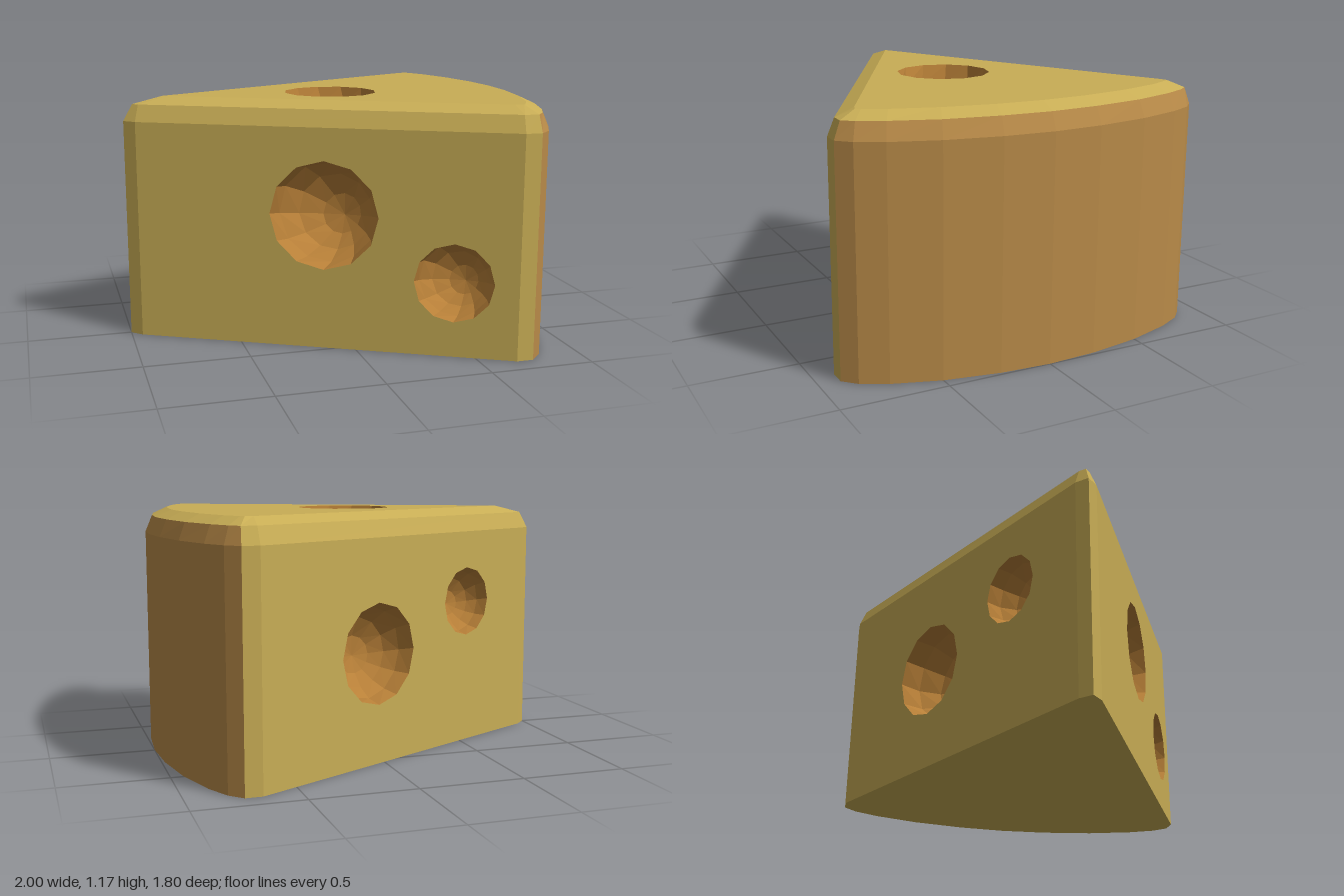
import * as THREE from 'three';

const cheese = new THREE.MeshStandardMaterial({ color: 0xc8ad55, flatShading: true });
const rind = new THREE.MeshStandardMaterial({ color: 0xb88a48, flatShading: true });
const inside = new THREE.MeshStandardMaterial({ color: 0xb88038, flatShading: true });

// Half outlines [x, z] from tip to middle of the rind; mirrored into a closed ring
const halfBase = [[-1, 0], [-0.95, 0.05], [0.67, 0.9], [0.75, 0.9], [0.81, 0.84], [0.87, 0.72], [0.94, 0.5], [0.985, 0.24], [1, 0]];
const halfMid = [[-0.955, 0], [-0.93, 0.025], [0.675, 0.868], [0.745, 0.87], [0.785, 0.82], [0.84, 0.705], [0.91, 0.49], [0.952, 0.235], [0.967, 0]];
const halfTop = [[-0.81, 0], [-0.79, 0.0105], [0.67, 0.777], [0.71, 0.79], [0.725, 0.77], [0.775, 0.67], [0.838, 0.46], [0.878, 0.22], [0.89, 0]];
const ring = (half, y) => [...half, ...half.slice(1, -1).reverse().map(([x, z]) => [x, -z])]
  .map(([x, z]) => new THREE.Vector3(x, y, z));

function meshFromTriangles(name, points, material) {
  const geometry = new THREE.BufferGeometry().setFromPoints(points);
  geometry.computeVertexNormals();
  const mesh = new THREE.Mesh(geometry, material);
  mesh.name = name;
  return mesh;
}

const quad = (a, b, c, d) => [a, b, c, a, c, d];

// Quads between two rings for the chosen segments
function strip(name, lower, upper, segments, material) {
  const points = segments.flatMap((i) => {
    const j = (i + 1) % lower.length;
    return quad(lower[i], lower[j], upper[j], upper[i]);
  });
  return meshFromTriangles(name, points, material);
}

// Round hollow of radius r sunk below the local z = 0 plane, with a tilted pole
const SIDES = 12;
function hollow(name, u, v, r) {
  const rows = 4;
  const pole = new THREE.Vector3(0.22, -0.18, -1).normalize();
  const at = (k, i) => {
    const a = (k / rows) * Math.PI / 2;
    const t = ((i % SIDES) / SIDES) * Math.PI * 2;
    return new THREE.Vector3(Math.cos(t), Math.sin(t), 0).multiplyScalar(Math.cos(a))
      .addScaledVector(pole, Math.sin(a)).normalize().multiplyScalar(r);
  };
  const points = [];
  for (let k = 0; k < rows; k++) {
    for (let i = 0; i < SIDES; i++) {
      if (k === rows - 1) points.push(at(k, i), at(k, i + 1), at(rows, 0));
      else points.push(...quad(at(k, i), at(k, i + 1), at(k + 1, i + 1), at(k + 1, i)));
    }
  }
  const mesh = meshFromTriangles(name, points, inside);
  mesh.position.set(u, v, 0);
  return mesh;
}

// Flat face with round openings and their hollows; holes are [u, v, radius]
function panel(name, outline, holes) {
  const group = new THREE.Group();
  group.name = name;
  const shape = new THREE.Shape(outline.map(([u, v]) => new THREE.Vector2(u, v)));
  holes.forEach(([u, v, r], n) => {
    const rim = [];
    for (let i = 0; i < SIDES; i++) {
      const t = (i / SIDES) * Math.PI * 2;
      rim.push(new THREE.Vector2(u + r * Math.cos(t), v + r * Math.sin(t)));
    }
    shape.holes.push(new THREE.Path(rim));
    group.add(hollow(`${name}Hole${n + 1}`, u, v, r));
  });
  const face = new THREE.Mesh(new THREE.ShapeGeometry(shape), cheese);
  face.name = `${name}Face`;
  group.add(face);
  return group;
}

// Upright cut side running from point a to point b, seen from outside
function cutSide(name, a, b, height, holes) {
  const length = a.distanceTo(b);
  const side = panel(name, [[0, 0], [length, 0], [length, height], [0, height]], holes);
  side.position.copy(a);
  side.rotation.y = Math.atan2(-(b.z - a.z), b.x - a.x);
  return side;
}

export function createModel() {
  const model = new THREE.Group();
  model.name = 'cheeseWedge';
  const wallHeight = 1.06;
  const base = ring(halfBase, 0);
  const wall = ring(halfBase, wallHeight);
  const mid = ring(halfMid, 1.14);
  const top = ring(halfTop, 1.175);

  const all = base.map((_, i) => i);
  const rindSegments = all.filter((i) => i >= 3 && i <= 12);
  const cheeseSegments = all.filter((i) => i < 3 || i > 12);

  // Cut sides with their holes
  model.add(cutSide('frontSide', base[1], base[2], wallHeight, [[0.915, 0.645, 0.26], [1.53, 0.355, 0.187]]));
  model.add(cutSide('backSide', base[14], base[15], wallHeight, [[0.72, 0.52, 0.24], [1.363, 0.71, 0.17]]));

  // Narrow upright corners at the tip and beside the rind
  model.add(strip('corners', base, wall, [0, 2, 13, 15], cheese));

  // Rind with its rounded shoulder
  model.add(strip('rindWall', base, wall, rindSegments, rind));
  model.add(strip('rindShoulder', wall, mid, rindSegments, rind));

  // Rounded top edge
  model.add(strip('lowerTopEdge', wall, mid, cheeseSegments, cheese));
  model.add(strip('upperTopEdge', mid, top, all, cheese));

  // Top face with one hole
  const topFace = panel('top', top.map((p) => [p.x, -p.z]), [[0.015, -0.045, 0.228]]);
  topFace.rotation.x = -Math.PI / 2;
  topFace.position.y = 1.175;
  model.add(topFace);

  // Flat underside
  const bottom = panel('bottom', base.map((p) => [p.x, p.z]), []);
  bottom.rotation.x = Math.PI / 2;
  model.add(bottom);
  return model;
}
